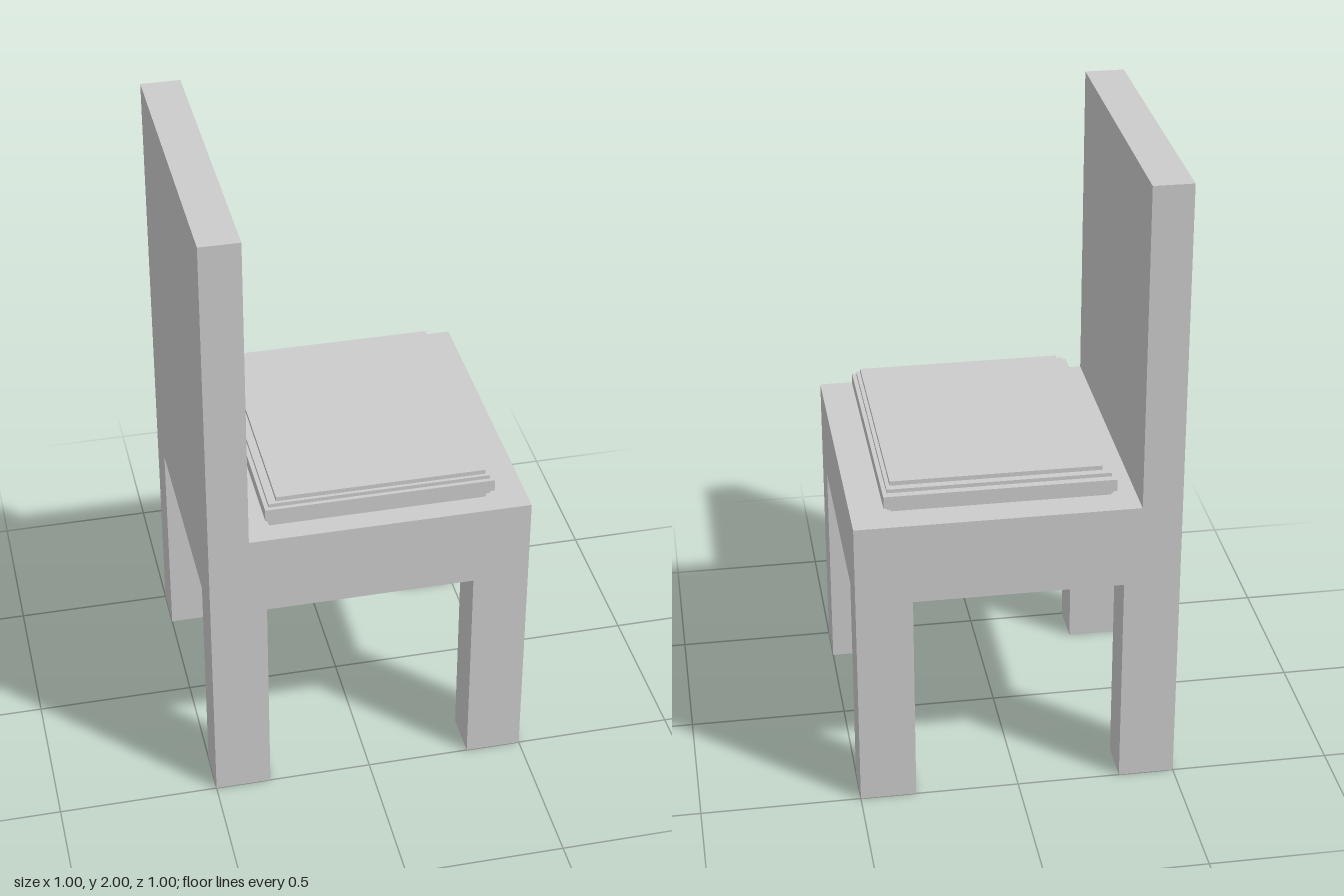
import * as THREE from 'three';

const material = new THREE.MeshStandardMaterial({ color: 0xcccccc, flatShading: true });

// Box given by its lower and upper corners
function block(name, [x0, y0, z0], [x1, y1, z1]) {
  const mesh = new THREE.Mesh(new THREE.BoxGeometry(x1 - x0, y1 - y0, z1 - z0), material);
  mesh.position.set((x0 + x1) / 2, (y0 + y1) / 2, (z0 + z1) / 2);
  mesh.name = name;
  return mesh;
}

export function createModel() {
  const chair = new THREE.Group();
  chair.name = 'chair';

  // Seat slab and backrest along the -x side
  const seatBottom = 0.7, seatTop = 0.963;
  chair.add(block('seat', [-0.5, seatBottom, -0.5], [0.5, seatTop, 0.5]));
  chair.add(block('backrest', [-0.5, seatTop, -0.5], [-0.376, 2, 0.5]));

  // Four corner legs
  for (const [x0, x1] of [[-0.5, -0.325], [0.325, 0.5]]) {
    for (const [z0, z1] of [[-0.5, -0.358], [0.353, 0.5]]) {
      chair.add(block('leg', [x0, 0, z0], [x1, seatBottom, z1]));
    }
  }

  // Stepped cushion: [y0, y1, x0, x1, z0, z1] per layer, bottom to top
  const cushion = new THREE.Group();
  cushion.name = 'cushion';
  const layers = [
    [seatTop, 0.976, -0.3, 0.375, -0.4, 0.428],
    [0.976, 0.987, -0.305, 0.387, -0.413, 0.43],
    [0.987, 1.026, -0.313, 0.4, -0.425, 0.436],
    [1.026, 1.038, -0.3, 0.387, -0.401, 0.423],
    [1.038, 1.052, -0.275, 0.375, -0.377, 0.412],
  ];
  for (const [y0, y1, x0, x1, z0, z1] of layers) {
    cushion.add(block('cushionLayer', [x0, y0, z0], [x1, y1, z1]));
  }
  chair.add(cushion);

  return chair;
}
